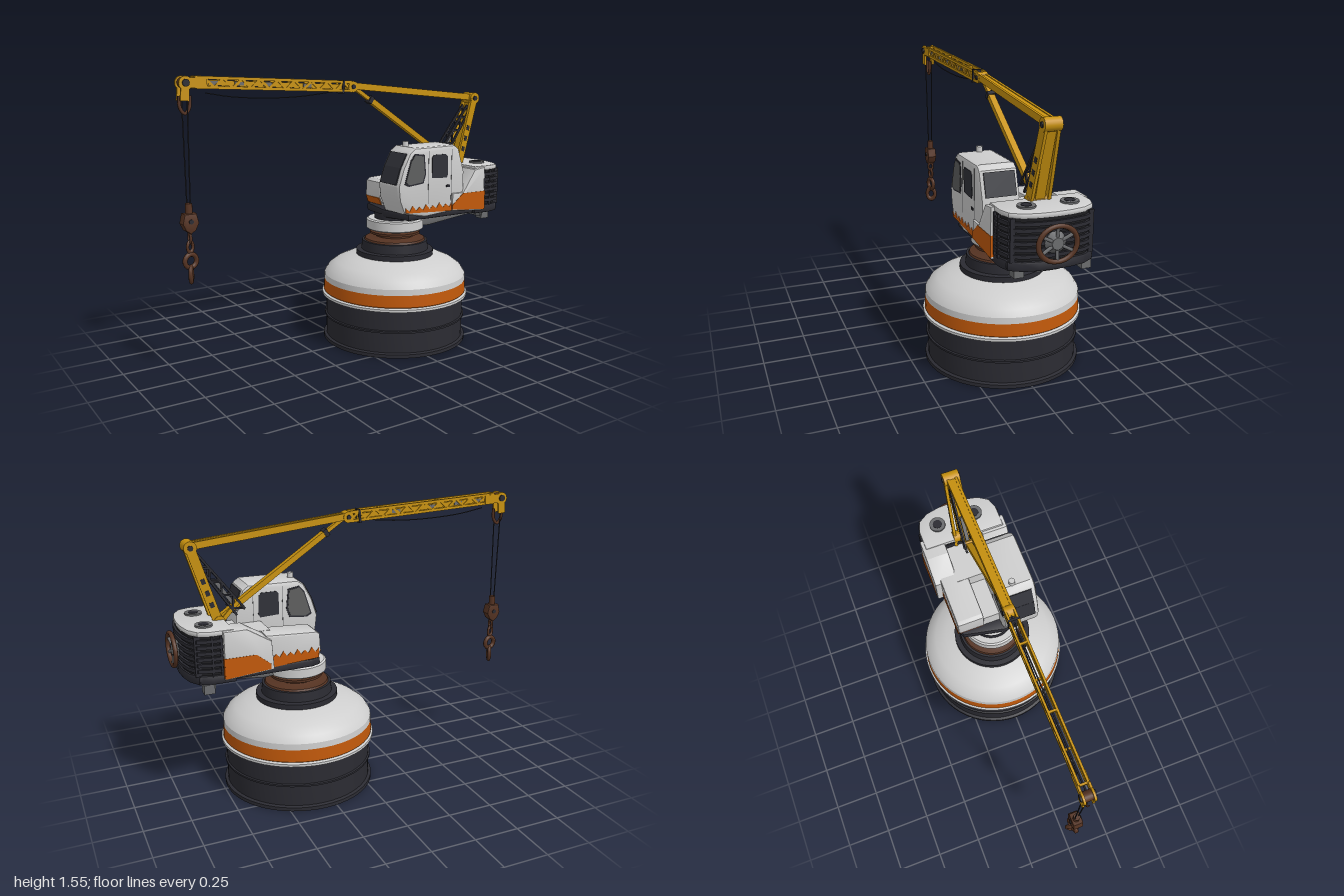
import * as THREE from 'three';
import { toCreasedNormals } from 'three/addons/utils/BufferGeometryUtils.js';

const mat = (name, color) => Object.assign(new THREE.MeshStandardMaterial({ color }), { name });

export function createModel() {
  const M = {
    white: mat('offWhite', 0xcecece), orange: mat('orange', 0xc2590a), dark: mat('charcoal', 0x2b2b32),
    black: mat('black', 0x1d1d20), yellow: mat('boomYellow', 0xc8920f), rust: mat('rust', 0x553322),
    grey: mat('steelGrey', 0x6b6c6e), glass: mat('glass', 0x303138), pane: mat('paleGlass', 0x5e5f5f),
  };
  const model = new THREE.Group();
  model.name = 'crane';
  const group = name => { const g = new THREE.Group(); g.name = name; model.add(g); return g; };
  let parent = model;
  const add = (name, geo, m) => {
    const mesh = new THREE.Mesh(geo, m);
    mesh.name = name;
    parent.add(mesh);
    return mesh;
  };
  const box = (name, m, x0, x1, y0, y1, z0, z1) =>
    add(name, new THREE.BoxGeometry(x1 - x0, y1 - y0, z1 - z0), m)
      .position.set((x0 + x1) / 2, (y0 + y1) / 2, (z0 + z1) / 2);
  const V = p => new THREE.Vector3(...p);
  // bar from a to b; w is its width across z, h its thickness in the xy plane
  const beam = (name, m, a, b, w, h) => {
    const mesh = add(name, new THREE.BoxGeometry(w, h, V(a).distanceTo(V(b))), m);
    mesh.position.copy(V(a)).add(V(b)).multiplyScalar(0.5);
    mesh.lookAt(V(b));
  };
  const extrude = (pts, depth, bevel) => {
    const g = new THREE.ExtrudeGeometry(new THREE.Shape(pts.map(p => new THREE.Vector2(...p))), {
      depth: depth - 2 * bevel, bevelEnabled: bevel > 0, bevelSize: bevel, bevelThickness: bevel,
      bevelOffset: -bevel, bevelSegments: 2,
    });
    return g.translate(0, 0, bevel);
  };
  // side outline (x, y) swept across z
  const prism = (name, m, pts, z0, z1, bevel = 0) =>
    add(name, toCreasedNormals(extrude(pts, z1 - z0, bevel), 0.5).translate(0, 0, z0), m);
  // plan outline (x, z) raised along y
  const slab = (name, m, pts, y0, y1, bevel = 0) =>
    add(name, toCreasedNormals(extrude(pts, y1 - y0, bevel).rotateX(Math.PI / 2), 0.5).translate(0, y1, 0), m);
  const lathe = (name, m, pts) => {
    const g = new THREE.LatheGeometry(pts.map(p => new THREE.Vector2(...p)), 56);
    add(name, toCreasedNormals(g, 0.5), m).position.x = 0.315;
  };
  const pin = (name, m, x, y, z, r, len) =>
    add(name, new THREE.CylinderGeometry(r, r, len, 20).rotateX(Math.PI / 2), m).position.set(x, y, z);
  const drum = (name, m, x, y0, y1, z, r) =>
    add(name, new THREE.CylinderGeometry(r, r, y1 - y0, 24), m).position.set(x, (y0 + y1) / 2, z);
  const tube = (name, m, pts, r) =>
    add(name, new THREE.TubeGeometry(new THREE.CatmullRomCurve3(pts.map(V)), 16, r, 6), m);

  // Round pedestal
  parent = group('pedestal');
  lathe('drumBase', M.dark, [[0, 0], [0.418, 0], [0.418, 0.02], [0.402, 0.025], [0.402, 0.137], [0.411, 0.14],
    [0.411, 0.15], [0.402, 0.153], [0.402, 0.265]]);
  add('underside', new THREE.CylinderGeometry(0.415, 0.415, 0.004, 56), M.black).position.set(0.315, 0.001, 0);
  lathe('rim', M.white, [[0.40, 0.262], [0.426, 0.266], [0.426, 0.28], [0.41, 0.286]]);
  lathe('orangeBand', M.orange, [[0.41, 0.284], [0.417, 0.29], [0.414, 0.357], [0.40, 0.36]]);
  lathe('dome', M.white, [[0.414, 0.357], [0.412, 0.39], [0.39, 0.425], [0.345, 0.458], [0.28, 0.486], [0.20, 0.505]]);
  lathe('collar', M.dark, [[0.225, 0.49], [0.225, 0.528], [0.195, 0.53], [0.19, 0.583], [0.12, 0.588]]);
  lathe('rustyBearing', M.rust, [[0.178, 0.582], [0.172, 0.594], [0.13, 0.597], [0.11, 0.605], [0.11, 0.615], [0.145, 0.622],
    [0.145, 0.635], [0.115, 0.64], [0.115, 0.655]]);
  lathe('turntable', M.white, [[0, 0.648], [0.155, 0.648], [0.165, 0.655], [0.165, 0.705], [0.155, 0.712], [0, 0.712]]);
  lathe('neck', M.dark, [[0.12, 0.71], [0.12, 0.75]]);

  // Frame beneath the upper works
  parent = group('underframe');
  prism('spine', M.grey, [[0.42, 0.655], [0.52, 0.65], [0.88, 0.69], [0.88, 0.73], [0.42, 0.735]], -0.06, 0.06, 0.006);
  box('crossbar', M.grey, 0.82, 0.86, 0.69, 0.725, -0.20, 0.17);
  for (const z of [-0.2, 0.15]) box('foot', M.grey, 0.83, 0.885, 0.675, 0.725, z - 0.025, z + 0.025);
  slab('floor', M.dark, [[0.25, -0.19], [0.30, -0.21], [0.9, -0.22], [0.9, 0.22], [0.25, 0.22], [0.2, 0.05]], 0.73, 0.775, 0.01);

  // Rear engine housing with slatted grille
  parent = group('engineHousing');
  const plan = o => [[0.72, -0.225 - o], [0.84, -0.225 - o], [0.895 + o, -0.205 - o], [0.932 + o, -0.155],
    [0.948 + o, -0.08], [0.953 + o, 0], [0.948 + o, 0.08], [0.932 + o, 0.155], [0.895 + o, 0.205 + o],
    [0.84, 0.225 + o], [0.72, 0.225 + o]];
  slab('core', M.black, plan(0), 0.735, 0.985);
  slab('lowerSkirt', M.dark, plan(0.01), 0.725, 0.775, 0.01);
  for (let i = 0; i < 6; i++) slab('slat', M.dark, plan(0.012), 0.79 + i * 0.031, 0.808 + i * 0.031);
  for (const s of [-1, 1]) {
    for (const x of [0.785, 0.83]) box('grilleBar', M.dark, x, x + 0.01, 0.77, 0.98, s * 0.233 - 0.006, s * 0.233 + 0.006);
    box('rearCorner', M.dark, 0.89, 0.92, 0.77, 0.98, s * 0.198 - 0.012, s * 0.198 + 0.012);
  }
  for (const z of [-0.12, 0.1]) {
    drum('ventCap', M.grey, 0.845, 1.0, 1.014, z, 0.045);
    drum('ventInset', M.dark, 0.845, 1.0, 1.016, z, 0.026);
  }
  slab('hood', M.white, plan(0.006), 0.978, 1.005, 0.008);

  // Shoulder panels either side of the boom foot
  const shoulder = [[0.54, 0.765], [0.78, 0.745], [0.78, 1.0], [0.705, 0.99], [0.62, 0.865], [0.54, 0.865]];
  const lowBand = [[0.54, 0.772], [0.78, 0.752], [0.78, 0.86], [0.615, 0.86], [0.54, 0.80]];
  prism('leftShoulder', M.white, shoulder, 0.1, 0.25, 0.008);
  prism('rightShoulder', M.white, [[0.52, 0.765], [0.78, 0.745], [0.78, 1.0], [0.66, 1.0], [0.53, 0.92]], -0.25, -0.12, 0.008);
  prism('leftOrangeBand', M.orange, lowBand, 0.243, 0.252);
  prism('rightOrangeBand', M.orange, lowBand, -0.252, -0.243);
  for (const s of [-1, 1]) box('shoulderEdgePaint', M.orange, 0.775, 0.783, 0.755, 0.86, s * 0.243 - 0.008, s * 0.243 + 0.008);
  box('boomFootDeck', M.white, 0.5, 0.78, 0.76, 0.94, -0.13, 0.11);

  // Rear hand wheel
  parent = group('handWheel');
  add('wheelRim', new THREE.TorusGeometry(0.085, 0.012, 8, 32).rotateY(Math.PI / 2).scale(1, 1, 1.14), M.rust).position.set(0.988, 0.86, 0.005);
  for (let i = 0; i < 6; i++) {
    const a = (i + 0.5) * Math.PI / 3;
    tube('spoke', M.grey, [[0.975, 0.86, 0.005], [0.986, 0.86 + 0.085 * Math.sin(a), 0.005 + 0.093 * Math.cos(a)]], 0.009);
  }
  add('hub', new THREE.CylinderGeometry(0.03, 0.058, 0.03, 8).rotateZ(-Math.PI / 2), M.grey).position.set(0.973, 0.86, 0.005);

  // Operator cab
  parent = group('cab');
  prism('cabShell', M.white, [[0.21, 0.775], [0.178, 0.85], [0.168, 0.93], [0.20, 1.03], [0.245, 1.115], [0.28, 1.14],
    [0.56, 1.143], [0.592, 1.12], [0.635, 0.985], [0.635, 0.765], [0.36, 0.745]], 0.035, 0.238, 0.02);
  const quarter = [[0.205, 0.945], [0.235, 0.93], [0.335, 0.94], [0.352, 0.99], [0.34, 1.10], [0.275, 1.11], [0.245, 1.075]];
  const door = [[0.395, 0.965], [0.50, 0.96], [0.51, 0.98], [0.505, 1.08], [0.49, 1.095], [0.405, 1.095], [0.393, 1.08]];
  const inset = pts => pts.map(([x, y]) => [0.277 + (x - 0.277) * 0.87, 1.02 + (y - 1.02) * 0.9]);
  for (const [z, s] of [[0.238, 1], [0.035, -1]]) {
    const plate = (n, m, pts, t) => prism(n, m, pts, s > 0 ? z - 0.003 : z - t, s > 0 ? z + t : z + 0.003);
    plate('quarterFrame', M.dark, quarter, 0.002);
    plate('quarterGlass', M.pane, inset(quarter), 0.004);
    plate('doorGlass', M.glass, door, 0.003);
    for (const x of [0.37, 0.535]) plate('doorSeam', M.grey, [[x, 0.82], [x + 0.003, 0.82], [x + 0.003, 1.12], [x, 1.12]], 0.001);
    plate('doorHandle', M.dark, [[0.50, 0.905], [0.525, 0.905], [0.525, 0.918], [0.50, 0.918]], 0.005);
  }
  beam('windshieldLower', M.glass, [0.167, 0.94, 0.136], [0.198, 1.032, 0.136], 0.15, 0.008);
  beam('windshieldUpper', M.glass, [0.198, 1.03, 0.136], [0.24, 1.108, 0.136], 0.15, 0.008);
  beam('rearGlass', M.glass, [0.597, 1.112, 0.136], [0.634, 0.995, 0.136], 0.16, 0.008);
  drum('roofVent', M.white, 0.295, 1.135, 1.168, 0.12, 0.017);

  // Ragged orange paint along lower sills
  const ragged = (x0, x1, y0, y1) => {
    const pts = [[x0, y0], [x1, y0 - 0.018]], n = 7;
    for (let i = n; i >= 0; i--) {
      const x = x0 + (x1 - x0) * i / n;
      pts.push([x, y1 + (i % 2) * 0.01]);
      if (i) pts.push([x - 0.02, y1 - 0.02]);
    }
    return pts;
  };
  prism('cabSillPaint', M.orange, ragged(0.215, 0.545, 0.782, 0.81), 0.236, 0.24);

  // Low side locker opposite the cab
  parent = group('sideLocker');
  prism('lockerShell', M.white, [[0.27, 0.775], [0.25, 0.82], [0.255, 0.91], [0.275, 0.925], [0.55, 0.94], [0.55, 0.765]], -0.215, -0.06, 0.012);
  prism('lockerPaint', M.orange, ragged(0.265, 0.54, 0.782, 0.835), -0.218, -0.212);
  beam('lockerFrontPaint', M.orange, [0.268, 0.778, -0.137], [0.25, 0.82, -0.137], 0.135, 0.006);
  box('centreDeck', M.white, 0.27, 0.55, 0.77, 0.86, -0.08, 0.06);

  // Mast, upper boom and stay
  parent = group('boom');
  const zc = -0.003;
  for (const s of [-1, 1]) {
    beam('mastLeg', M.yellow, [0.735, 0.94, zc + s * 0.05], [0.87, 1.385, zc + s * 0.034], 0.016, 0.05);
    for (const t of [0.3, 0.44, 0.58]) {
      const p = u => [0.735 + 0.135 * u, 0.94 + 0.445 * u, zc + s * (0.057 - 0.016 * u)];
      beam('mastPort', M.dark, p(t), p(t + 0.06), 0.006, 0.022);
    }
    beam('upperBoomRail', M.yellow, [0.87, 1.39, zc + s * 0.022], [0.0, 1.478, zc + s * 0.019], 0.014, 0.036);
    beam('ramRail', M.dark, [0.60, 1.04, zc + s * 0.025], [0.83, 1.345, zc + s * 0.02], 0.01, 0.012);
    beam('ramRail', M.dark, [0.645, 1.01, zc + s * 0.025], [0.85, 1.32, zc + s * 0.02], 0.01, 0.012);
    for (let i = 0; i < 8; i++) {
      const p = (t, o) => [0.60 + 0.23 * t + o * 0.035, 1.04 + 0.305 * t - o * 0.028, zc + s * 0.022];
      beam('ramLacing', M.dark, p(i / 8, i % 2), p((i + 1) / 8, (i + 1) % 2), 0.008, 0.01);
    }
  }
  beam('mastWeb', M.yellow, [0.745, 0.96, zc], [0.865, 1.36, zc], 0.05, 0.022);
  beam('upperBoomWeb', M.yellow, [0.86, 1.395, zc], [0.0, 1.482, zc], 0.04, 0.02);
  beam('stay', M.yellow, [0.745, 0.99, zc], [0.13, 1.4, zc], 0.034, 0.03);
  beam('stayRod', M.yellow, [0.15, 1.387, zc], [0.02, 1.473, zc], 0.022, 0.02);
  beam('stayCollar', M.dark, [0.145, 1.39, zc], [0.125, 1.403, zc], 0.042, 0.04);
  beam('ramCylinder', M.grey, [0.63, 1.03, zc], [0.74, 1.19, zc], 0.02, 0.02);
  beam('ramFoot', M.yellow, [0.63, 1.085, zc], [0.725, 0.985, zc], 0.05, 0.022);
  pin('mastPivot', M.yellow, 0.87, 1.385, zc, 0.034, 0.088);
  pin('mastPin', M.dark, 0.87, 1.385, zc, 0.014, 0.1);
  pin('footPivot', M.yellow, 0.745, 0.995, zc, 0.03, 0.116);
  pin('kneePivot', M.yellow, 0.01, 1.472, zc, 0.03, 0.056);
  pin('kneePin', M.dark, 0.01, 1.472, zc, 0.012, 0.068);
  beam('kneeClamp', M.dark, [-0.06, 1.473, zc], [-0.048, 1.472, zc], 0.062, 0.072);

  // Laced outer jib
  parent = group('jib');
  const jib = (t, top, s) => [-0.9 * t, (top ? 1.497 : 1.45) + 0.04 * t, zc + s * 0.022];
  for (const s of [-1, 1]) {
    for (const top of [0, 1]) beam('jibChord', M.yellow, jib(0, top, s), jib(1, top, s), 0.012, 0.015);
    for (let i = 0; i < 18; i++) beam('jibLacing', M.yellow, jib(i / 18, i % 2, s), jib((i + 1) / 18, (i + 1) % 2, s), 0.006, 0.014);
    beam('jibSidePlate', M.yellow, [-0.04, 1.473, zc + s * 0.018], [-0.88, 1.512, zc + s * 0.018], 0.005, 0.026);
    for (const x of [-0.25, -0.48, -0.64, -0.78])
      beam('wornPatch', M.grey, [x, 1.472 - x * 0.045, zc + s * 0.021], [x - 0.05, 1.474 - x * 0.045, zc + s * 0.021], 0.004, 0.018);
  }
  for (let i = 0; i < 6; i++) beam('jibTie', M.yellow, jib(i / 5, i % 2, -1), jib(i / 5, i % 2, 1), 0.012, 0.012);
  beam('jibCable', M.dark, [0.0, 1.477, zc], [-0.94, 1.515, zc], 0.006, 0.008);
  tube('slackCable', M.dark, [[-0.84, 1.46, zc], [-0.7, 1.437, zc], [-0.5, 1.425, zc], [-0.3, 1.428, zc], [-0.08, 1.45, zc]], 0.003);
  for (const s of [-1, 1]) {
    pin('headCheek', M.yellow, -0.95, 1.51, zc + s * 0.026, 0.035, 0.012);
    beam('headArm', M.yellow, [-0.84, 1.51, zc + s * 0.026], [-0.95, 1.512, zc + s * 0.026], 0.012, 0.05);
    beam('headDrop', M.yellow, [-0.952, 1.5, zc + s * 0.026], [-0.957, 1.425, zc + s * 0.026], 0.012, 0.045);
  }
  pin('headSheave', M.rust, -0.95, 1.512, zc, 0.026, 0.04);
  pin('headPin', M.dark, -0.95, 1.512, zc, 0.018, 0.078);

  // Hanging tackle and chain
  parent = group('hoist');
  tube('hangerLoop', M.rust, [[-0.975, 1.45, zc], [-0.972, 1.39, zc], [-0.948, 1.362, zc], [-0.924, 1.39, zc], [-0.92, 1.45, zc]], 0.009);
  for (const s of [-1, 1]) tube('hoistCable', M.dark, [[-0.948 + s * 0.006, 1.44, zc + s * 0.022], [-0.948 + s * 0.004, 0.9, zc + s * 0.012]], 0.0035);
  drum('cableSocket', M.rust, -0.948, 0.86, 0.92, zc, 0.018);
  prism('hookBlock', M.rust, [[-0.98, 0.87], [-0.992, 0.82], [-0.975, 0.785], [-0.948, 0.765], [-0.921, 0.785], [-0.904, 0.82],
    [-0.916, 0.87]], zc - 0.028, zc + 0.028, 0.008);
  pin('blockPin', M.dark, -0.948, 0.83, zc, 0.012, 0.064);
  const link = (y, r, t, stretch, turn) => {
    const m = add('chainLink', new THREE.TorusGeometry(r, t, 8, 20).scale(1, stretch, 1), M.rust);
    m.position.set(-0.948, y, zc);
    m.rotation.y = turn;
  };
  link(0.745, 0.015, 0.007, 1.6, Math.PI / 2);
  link(0.697, 0.017, 0.008, 1.6, 0.3);
  link(0.625, 0.034, 0.013, 1.0, 0.2);
  link(0.555, 0.026, 0.012, 1.4, 1.1);
  return model;
}
